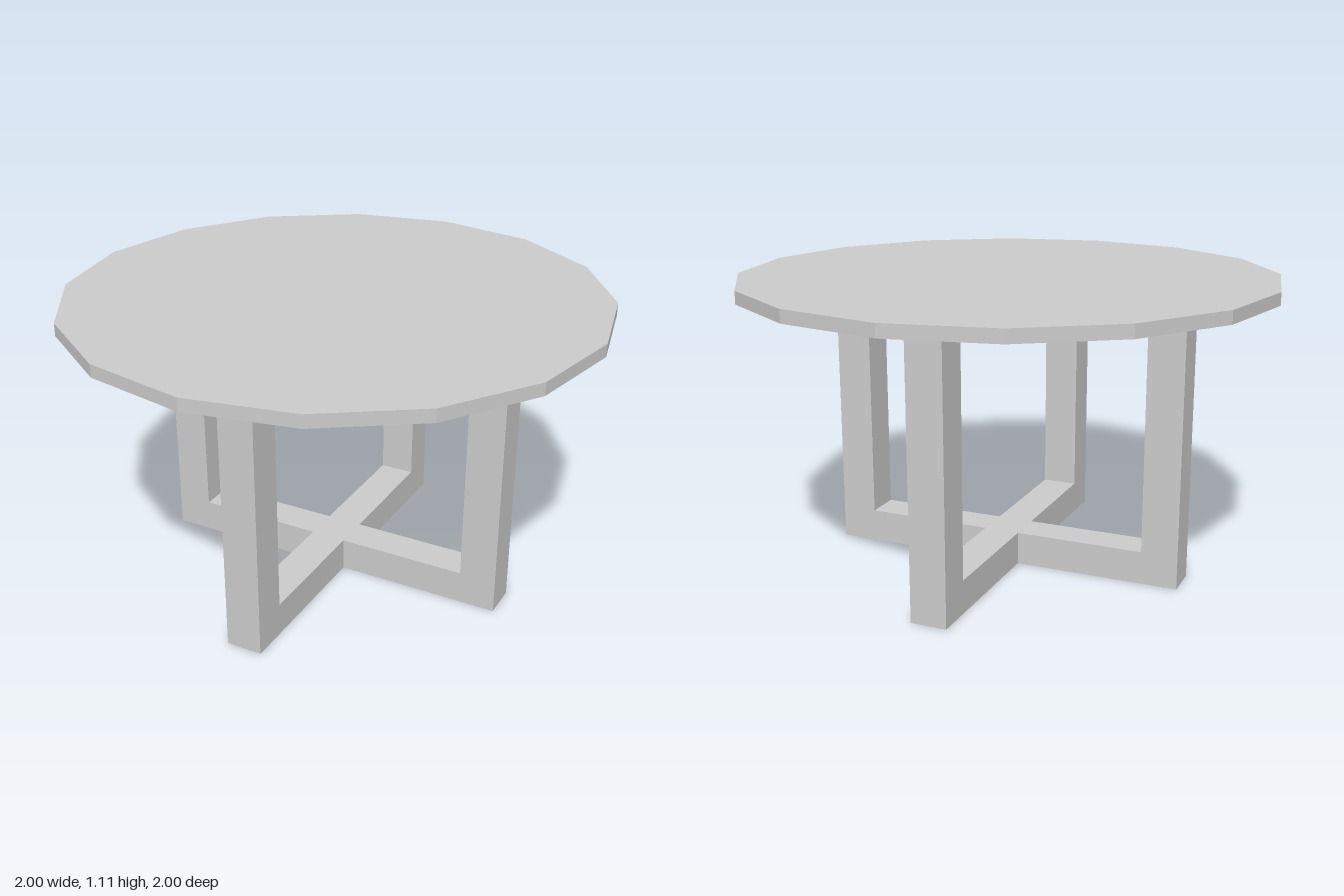
import * as THREE from 'three';

const HALF = 0.068;       // half the beam width
const INNER = 0.56;       // inner face of the legs
const OUTER = 0.698;      // outer face of the legs
const RAIL_H = 0.125;     // height of the floor cross
const TOP_Y = 1.065;      // underside of the table top
const TOP_T = 0.047;      // thickness of the table top

export function createModel() {
  const group = new THREE.Group();
  const material = new THREE.MeshStandardMaterial({ color: 0xcccccc, flatShading: true });

  const add = (name, geometry, x = 0, y = 0, z = 0) => {
    const mesh = new THREE.Mesh(geometry, material);
    mesh.name = name;
    mesh.position.set(x, y, z);
    group.add(mesh);
    return mesh;
  };

  // Sixteen-sided round top
  add('tableTop', new THREE.CylinderGeometry(1, 1, TOP_T, 16), 0, TOP_Y + TOP_T / 2, 0);

  // Floor cross: a plus-shaped outline, one arm per quarter turn
  const outline = [];
  for (let i = 0; i < 4; i++) {
    const centre = new THREE.Vector2();
    for (const [x, y] of [[HALF, -HALF], [INNER, -HALF], [INNER, HALF]]) {
      outline.push(new THREE.Vector2(x, y).rotateAround(centre, i * Math.PI / 2));
    }
  }
  const cross = new THREE.ExtrudeGeometry(new THREE.Shape(outline), { depth: RAIL_H, bevelEnabled: false });
  cross.rotateX(-Math.PI / 2);
  add('floorCross', cross);

  // Four upright legs at the ends of the cross
  const legGeometry = new THREE.BoxGeometry(OUTER - INNER, TOP_Y, HALF * 2);
  const reach = (INNER + OUTER) / 2;
  ['leftLeg', 'backLeg', 'rightLeg', 'frontLeg'].forEach((name, i) => {
    const angle = i * Math.PI / 2;
    const leg = add(name, legGeometry, reach * Math.cos(angle), TOP_Y / 2, -reach * Math.sin(angle));
    leg.rotation.y = angle;
  });

  return group;
}
